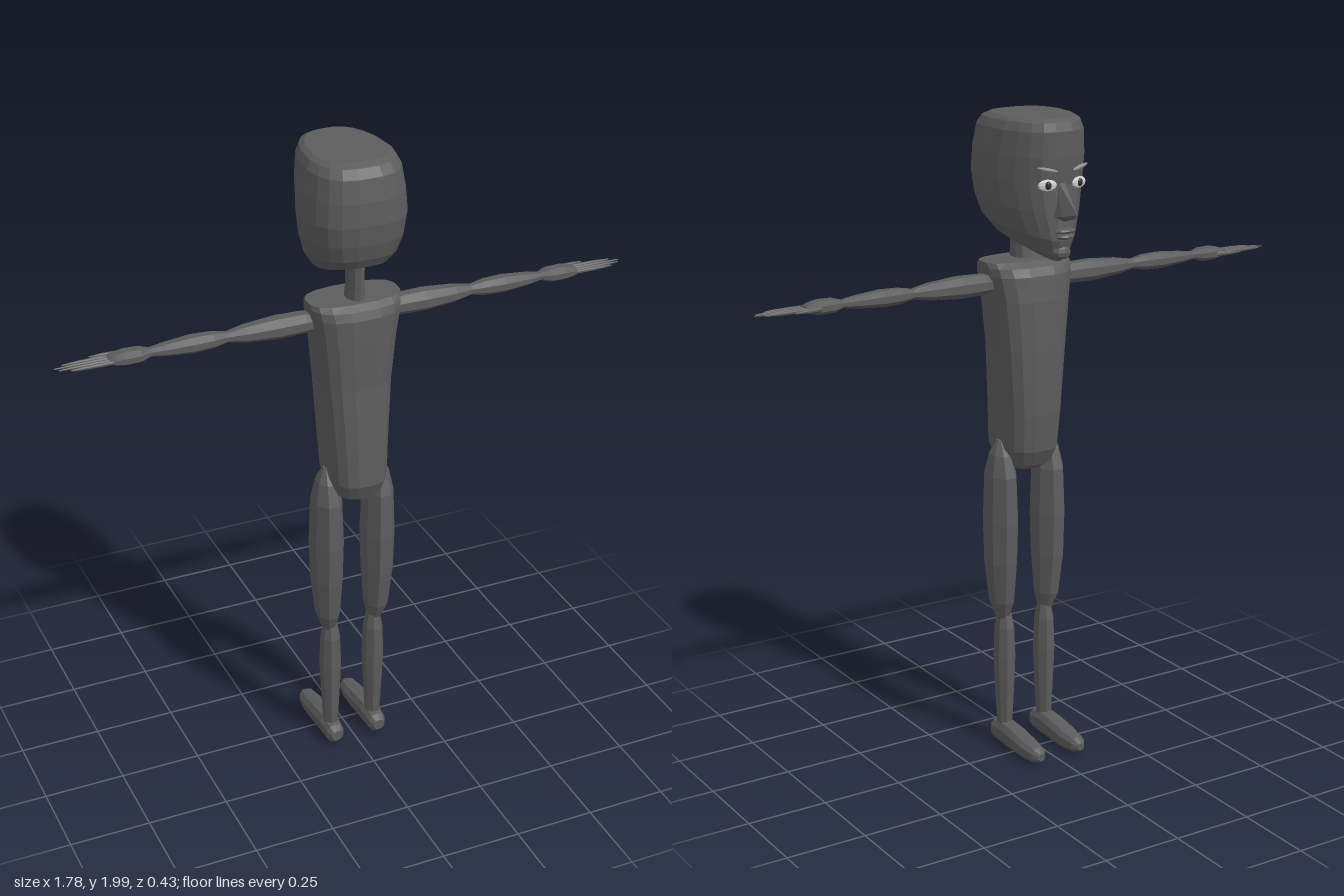
import * as THREE from 'three';
import { ConvexGeometry } from 'three/addons/geometries/ConvexGeometry.js';

const mat = (name, color) => {
  const m = new THREE.MeshStandardMaterial({ color, flatShading: true });
  m.name = name;
  return m;
};

// Point on a rounded-square outline
const outline = (i, n, e) => {
  const a = ((i + 0.5) / n) * Math.PI * 2;
  const p = (v) => Math.sign(v) * Math.pow(Math.abs(v), 2 / e);
  return [p(Math.cos(a)), p(Math.sin(a))];
};

// Closed skin over a list of equal-length rings
function loft(rings) {
  const n = rings[0].length, pos = [], idx = [];
  rings.forEach((r) => r.forEach((p) => pos.push(...p)));
  const centre = (r) => [0, 1, 2].map((k) => r.reduce((s, p) => s + p[k], 0) / n);
  const a = rings.length * n, b = a + 1, last = (rings.length - 1) * n;
  pos.push(...centre(rings[0]), ...centre(rings[rings.length - 1]));
  for (let i = 0; i < n; i++) {
    const j = (i + 1) % n;
    for (let r = 0; r < last; r += n) idx.push(r + i, r + n + i, r + j, r + j, r + n + i, r + n + j);
    idx.push(a, i, j, b, last + j, last + i);
  }
  // Keep faces outward whatever the axis or mirror side
  const v = (i) => new THREE.Vector3().fromArray(pos, i * 3);
  let volume = 0;
  for (let i = 0; i < idx.length; i += 3) volume += v(idx[i]).dot(v(idx[i + 1]).cross(v(idx[i + 2])));
  if (volume < 0) idx.reverse();
  const g = new THREE.BufferGeometry();
  g.setAttribute('position', new THREE.Float32BufferAttribute(pos, 3));
  g.setIndex(idx);
  g.computeVertexNormals();
  return g;
}

// Sections: [position on axis, centre A, radius A, centre B, radius B]
function limb(axis, sections, n = 8, e = 2) {
  return loft(sections.map(([t, ca, ra, cb, rb]) =>
    Array.from({ length: n }, (_, i) => {
      const [u, w] = outline(i, n, e);
      const a = ca + ra * u, b = cb + rb * w;
      return axis === 'y' ? [a, t, b] : axis === 'x' ? [t, a, b] : [a, b, t];
    })));
}

export function createModel() {
  const root = new THREE.Group();
  const body = mat('body grey', 0x5c5c5c);
  const white = mat('eye white', 0xd0d0d0);
  const dark = mat('iris dark', 0x2c2c2c);
  const brow = mat('brow grey', 0x8c8c8c);
  const add = (name, geo, m = body, parent = root) => {
    const mesh = new THREE.Mesh(geo, m);
    mesh.name = name;
    parent.add(mesh);
    return mesh;
  };

  // Head: [y back, y front, z back, z front, half width, narrowing of the face]
  const headRings = [
    [1.685, 1.585, 0.14, -0.115, 0.075, 0.6],
    [1.69, 1.60, 0.175, -0.137, 0.10, 0.6],
    [1.72, 1.65, 0.193, -0.15, 0.128, 0.53],
    [1.77, 1.73, 0.207, -0.142, 0.146, 0.4],
    [1.83, 1.81, 0.216, -0.137, 0.153, 0.3],
    [1.90, 1.89, 0.213, -0.145, 0.148, 0.24],
    [1.965, 1.965, 0.2, -0.147, 0.138, 0.22],
    [1.99, 1.99, 0.18, -0.138, 0.126, 0.22],
    [2.0, 2.0, 0.155, -0.118, 0.11, 0.22],
  ];
  add('head', loft(headRings.map(([yb, yf, zb, zf, w, k]) =>
    Array.from({ length: 20 }, (_, i) => {
      const [u, v] = outline(i, 20, 2.8);
      const f = (1 - v) / 2;
      return [w * u * (1 - k * Math.max(0, -v)), yb + (yf - yb) * f, zb + (zf - zb) * f];
    }))));

  // Face, which looks towards -z
  const face = new THREE.Group();
  face.name = 'face';
  root.add(face);
  const hull = (pts) => new ConvexGeometry(pts.map((p) => new THREE.Vector3(...p)));
  add('nose', hull([
    [-0.012, 1.82, -0.13], [0.012, 1.82, -0.13], [0, 1.81, -0.148], [0, 1.735, -0.212], [0, 1.722, -0.2],
    [-0.03, 1.72, -0.14], [0.03, 1.72, -0.14], [-0.024, 1.725, -0.165], [0.024, 1.725, -0.165], [0, 1.705, -0.14],
  ]), body, face);
  for (const [name, y, z, w] of [['upperLip', 1.68, -0.15, 0.036], ['lowerLip', 1.663, -0.148, 0.03]]) {
    const lip = add(name, new THREE.SphereGeometry(1, 8, 6), body, face);
    lip.scale.set(w, 0.009, 0.02);
    lip.position.set(0, y, z);
  }
  const chin = add('chin', new THREE.SphereGeometry(1, 8, 6), body, face);
  chin.scale.set(0.03, 0.022, 0.02);
  chin.position.set(0, 1.615, -0.132);

  for (const s of [-1, 1]) {
    const side = s > 0 ? 'left' : 'right';
    const disc = (name, m, rx, ry, x, y, z) => {
      const d = add(side + name, new THREE.SphereGeometry(1, 10, 6), m, face);
      d.scale.set(rx, ry, 0.007);
      d.position.set(s * x, y, z);
      d.rotation.y = -s * 0.25;
      return d;
    };
    disc('Eye', white, 0.029, 0.017, 0.054, 1.815, -0.138);
    disc('Iris', dark, 0.011, 0.012, 0.054, 1.815, -0.142);
    disc('Brow', brow, 0.032, 0.006, 0.056, 1.86, -0.142).rotation.z = s * 0.22;
  }

  // Neck and torso
  add('neck', limb('y', [
    [1.54, 0, 0.03, 0.09, 0.046], [1.6, 0, 0.026, 0.093, 0.042], [1.66, 0, 0.026, 0.093, 0.042], [1.72, 0, 0.028, 0.093, 0.045],
  ], 10));
  add('torso', limb('y', [
    [0.917, 0, 0.045, 0.085, 0.06], [0.935, 0, 0.072, 0.085, 0.09], [0.985, 0, 0.088, 0.083, 0.113],
    [1.1, 0, 0.094, 0.075, 0.117], [1.3, 0, 0.109, 0.067, 0.111], [1.45, 0, 0.125, 0.069, 0.112],
    [1.525, 0, 0.138, 0.073, 0.107], [1.55, 0, 0.142, 0.075, 0.095], [1.565, 0, 0.142, 0.077, 0.072],
  ], 16, 2.8));

  // Arms and legs, mirrored
  for (const s of [-1, 1]) {
    const side = s > 0 ? 'left' : 'right';
    const arm = new THREE.Group(), leg = new THREE.Group();
    arm.name = side + 'Arm';
    leg.name = side + 'Leg';
    root.add(arm, leg);
    // [x, half height, half depth] about the arm line
    const armPart = (name, secs, y = 1.5, z = 0.067) =>
      add(name, limb('x', secs.map(([x, h, d, dz = 0]) => [s * x, y, h, z + dz, d])), body, arm);
    armPart('upperArm', [[0.1, 0.024, 0.03], [0.15, 0.032, 0.038], [0.23, 0.034, 0.041], [0.33, 0.026, 0.033], [0.39, 0.015, 0.018]]);
    armPart('forearm', [[0.38, 0.015, 0.018], [0.43, 0.024, 0.03], [0.49, 0.026, 0.034], [0.57, 0.019, 0.027], [0.625, 0.011, 0.016]]);
    armPart('hand', [[0.61, 0.011, 0.016], [0.645, 0.021, 0.034], [0.69, 0.022, 0.036], [0.72, 0.016, 0.032], [0.735, 0.009, 0.027]]);
    [[0.865, 0.047], [0.89, 0.061], [0.88, 0.075], [0.85, 0.089]].forEach(([tip, z]) =>
      armPart('finger', [[0.72, 0.006, 0.006], [0.77, 0.006, 0.006], [0.82, 0.005, 0.005], [tip, 0.002, 0.002]], 1.5, z));
    armPart('thumb', [[0.66, 0.007, 0.006, 0.012], [0.7, 0.008, 0.007], [0.74, 0.006, 0.006, -0.006], [0.78, 0.002, 0.002, -0.008]], 1.5, 0.037);

    // [y, half width, half depth]
    const legPart = (name, secs) =>
      add(name, limb('y', secs.map(([y, w, d, dx = 0]) => [y, s * (0.085 - dx), w, 0.076, d])), body, leg);
    legPart('thigh', [[0.43, 0.02, 0.022, 0.008], [0.49, 0.037, 0.05, 0.003], [0.62, 0.047, 0.068], [0.75, 0.05, 0.074],
      [0.9, 0.045, 0.068], [0.965, 0.032, 0.045], [1.01, 0.01, 0.012]]);
    legPart('shin', [[0.06, 0.022, 0.028, 0.012], [0.1, 0.024, 0.031, 0.012], [0.22, 0.03, 0.038, 0.012], [0.3, 0.033, 0.041, 0.012],
      [0.4, 0.029, 0.039, 0.012], [0.45, 0.02, 0.026, 0.012]]);
    const foot = [[0.132, 0.018, 0.045, 0.018], [0.115, 0.029, 0.044, 0.034], [0.06, 0.032, 0.048, 0.041], [0, 0.034, 0.045, 0.039],
      [-0.07, 0.034, 0.039, 0.032], [-0.12, 0.026, 0.037, 0.025], [-0.14, 0.012, 0.036, 0.012]];
    add('foot', limb('z', foot.map(([z, w, y, h]) => [z, s * 0.073, w, y, h]), 10, 2.3), body, leg);
  }
  return root;
}
